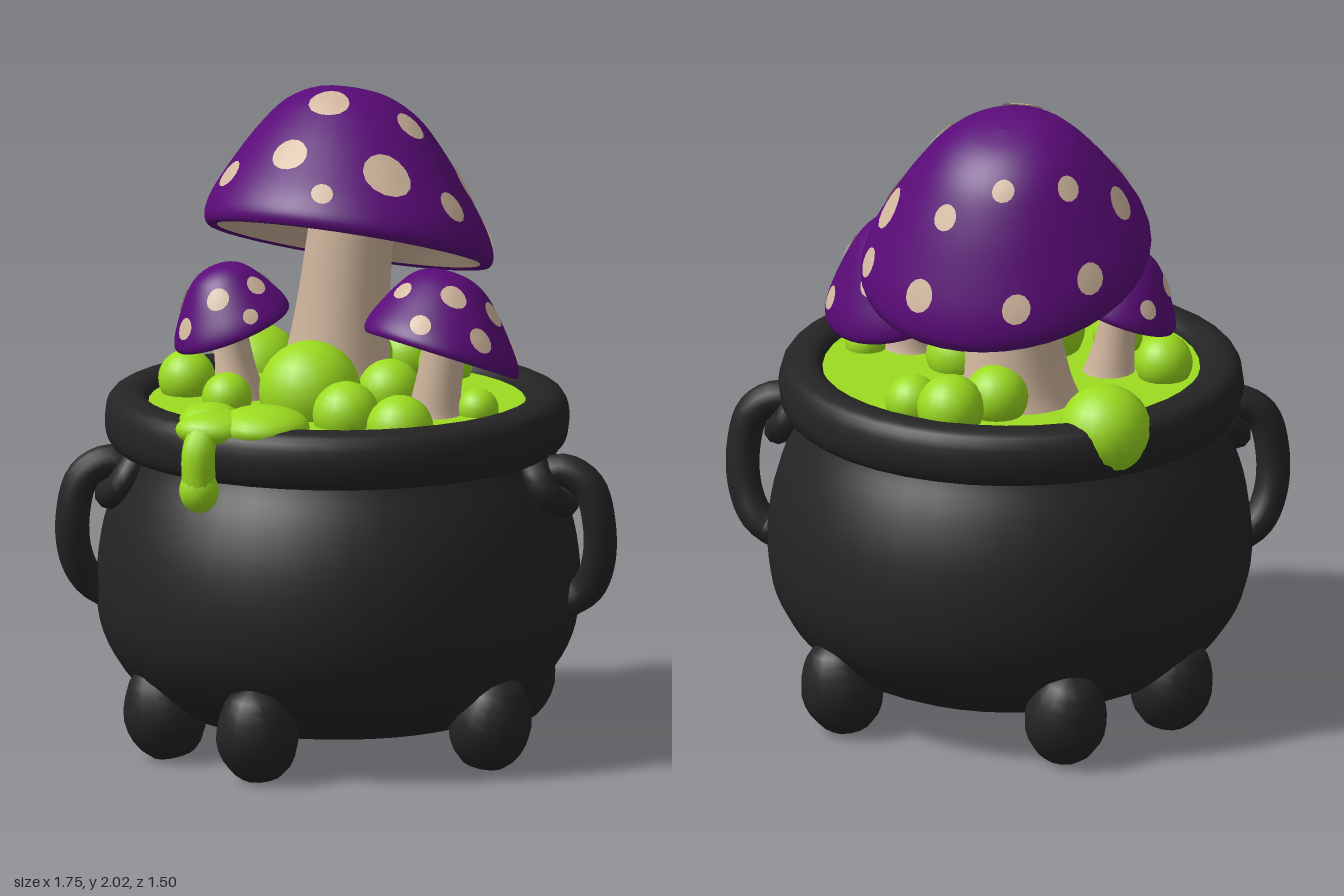
import * as THREE from 'three';

const mat = (name, color, side = THREE.FrontSide) => {
  const m = new THREE.MeshStandardMaterial({ color, side });
  m.name = name;
  return m;
};
const v2 = (a) => a.map(([x, y]) => new THREE.Vector2(x, y));
const v3 = (a) => a.map((p) => new THREE.Vector3(...p));

export function createModel() {
  const iron = mat('black iron', 0x242424);
  const slime = mat('green slime', 0x9cdc20, THREE.DoubleSide);
  const purple = mat('purple cap', 0x5a0b78);
  const cream = mat('cream flesh', 0xd2b89f, THREE.DoubleSide);
  const model = new THREE.Group();
  model.name = 'mushroomCauldron';

  const add = (parent, name, geo, material, pos = [0, 0, 0]) => {
    const m = new THREE.Mesh(geo, material);
    m.name = name;
    m.position.set(...pos);
    parent.add(m);
    return m;
  };
  const lathe = (pts, n, segs = 40) => new THREE.LatheGeometry(new THREE.SplineCurve(v2(pts)).getPoints(n), segs);

  // Cauldron: rounded body, flat base, thick rim
  add(model, 'potBody', lathe([[0.47, 0.11], [0.58, 0.165], [0.675, 0.26], [0.735, 0.38], [0.752, 0.52],
    [0.735, 0.68], [0.69, 0.82], [0.63, 0.94], [0.61, 1.02]], 28), iron, [-0.01, 0, 0]);
  add(model, 'potBase', new THREE.CircleGeometry(0.475, 40).rotateX(Math.PI / 2), iron, [-0.01, 0.111, 0]);
  add(model, 'potRim', lathe([[0.585, 1.0], [0.61, 0.95], [0.66, 0.938], [0.705, 0.96], [0.722, 1.03],
    [0.705, 1.1], [0.65, 1.122], [0.6, 1.11], [0.58, 1.06], [0.585, 1.0]], 28), iron, [-0.015, 0, -0.01]);

  // Six stubby feet, leaning outwards
  for (const [x, z] of [[0.5, 0.36], [-0.2, 0.615], [-0.52, 0.3]]) {
    for (const s of [1, -1]) {
      const foot = add(model, 'foot', lathe([[0.001, -0.145], [0.07, -0.13], [0.115, -0.07], [0.13, 0.005],
        [0.11, 0.08], [0.07, 0.14], [0.001, 0.165]], 12, 14), iron, [x, 0.15, z * s]);
      foot.quaternion.setFromUnitVectors(new THREE.Vector3(0, 1, 0), new THREE.Vector3(x * 0.4, 1, z * s * 0.4).normalize());
    }
  }

  // Side handles: a fat collar with a bent bar hanging from it
  for (const s of [1, -1]) {
    const handle = new THREE.Group();
    handle.name = s > 0 ? 'leftHandle' : 'rightHandle';
    model.add(handle);
    const path = new THREE.CatmullRomCurve3(v3([[0.6, 0.86, 0.15], [0.7, 0.915, 0.16], [0.785, 0.87, 0.17], [0.82, 0.75, 0.17],
      [0.815, 0.62, 0.15], [0.775, 0.53, 0.12], [0.7, 0.48, 0.1]].map(([x, y, z]) => [x * s, y, z])));
    add(handle, 'handleBar', new THREE.TubeGeometry(path, 28, 0.053, 12), iron);
    add(handle, 'handleEnd', new THREE.SphereGeometry(0.055, 12, 8), iron, [0.73 * s, 0.5, 0.105]);
    const collar = add(handle, 'handleCollar', new THREE.TorusGeometry(0.08, 0.045, 10, 20), iron, [0.665 * s, 0.875, 0.155]);
    collar.quaternion.setFromUnitVectors(new THREE.Vector3(0, 0, 1), new THREE.Vector3(0.8 * s, 0.55, 0.15).normalize());
  }

  // Slime surface and bubbles: x, y, z, radius
  add(model, 'slimeSurface', new THREE.CircleGeometry(0.6, 40).rotateX(-Math.PI / 2), slime, [-0.015, 1.085, -0.01]);
  for (const [x, y, z, r] of [[-0.08, 1.15, 0.18, 0.16], [0.05, 1.115, 0.35, 0.105], [0.225, 1.09, 0.42, 0.105],
    [-0.34, 1.125, 0.17, 0.078], [-0.49, 1.13, -0.08, 0.09], [0.44, 1.1, 0.15, 0.065], [-0.32, 1.07, -0.53, 0.145],
    [0.16, 1.13, -0.5, 0.105], [0.02, 1.14, -0.42, 0.1], [0.28, 1.12, -0.42, 0.085], [0.15, 1.12, 0.0, 0.1]]) {
    add(model, 'slimeBubble', new THREE.SphereGeometry(r, 20, 14), slime, [x, y, z]);
  }

  // Slime spilling over the rim at the front
  const spill = new THREE.Group();
  spill.name = 'slimeSpill';
  model.add(spill);
  for (const [x, y, z, rx, ry, rz] of [[-0.19, 1.11, 0.53, 0.145, 0.065, 0.145], [-0.36, 1.11, 0.47, 0.1, 0.06, 0.095],
    [-0.34, 1.105, 0.57, 0.12, 0.055, 0.085], [-0.38, 0.925, 0.632, 0.062, 0.07, 0.055]]) {
    add(spill, 'spillBlob', new THREE.SphereGeometry(1, 20, 14), slime, [x, y, z]).scale.set(rx, ry, rz);
  }
  const drip = new THREE.CatmullRomCurve3(v3([[-0.3, 1.11, 0.52], [-0.36, 1.1, 0.59], [-0.38, 1.05, 0.63], [-0.38, 0.92, 0.632]]));
  add(spill, 'drip', new THREE.TubeGeometry(drip, 20, 0.053, 12), slime);

  // Mushroom: unit cap scaled by r and h, leaning along a normal, with spots [angle, way from tip to edge, radius]
  const mushroom = (name, { centre, normal, r, h, lean, stem, spots }) => {
    const g = new THREE.Group();
    g.name = name;
    model.add(g);
    const cap = new THREE.Group();
    cap.name = 'cap';
    cap.position.set(...centre);
    cap.quaternion.setFromUnitVectors(new THREE.Vector3(0, 1, 0), new THREE.Vector3(...normal).normalize());
    g.add(cap);
    const shear = (geo) => {
      const p = geo.attributes.position;
      for (let i = 0; i < p.count; i++) {
        const k = p.getY(i) / h;
        p.setX(i, p.getX(i) + lean[0] * k);
        p.setZ(i, p.getZ(i) + lean[1] * k);
      }
      return geo;
    };
    const outer = [[0.91, -0.09], [0.97, -0.1], [1, -0.02], [0.95, 0.14], [0.82, 0.37], [0.65, 0.63],
      [0.46, 0.85], [0.24, 0.97], [0, 1]].map(([x, y]) => [x * r, y * h]);
    const curve = new THREE.SplineCurve(v2(outer));
    add(cap, 'capTop', shear(lathe(outer, 32)), purple);
    add(cap, 'capUnderside', shear(lathe([[0, 0.22], [0.3, 0.2], [0.65, 0.1], [0.91, -0.09]].map(([x, y]) => [x * r, y * h]), 10)), cream);

    // Spots are thin patches that follow the cap
    const len = curve.getLength();
    for (const [deg, s, size] of spots) {
      const phi = THREE.MathUtils.degToRad(deg);
      const r0 = curve.getPointAt(1 - s * 0.88).x;
      const pos = [], idx = [], n = 14, rings = 3;
      for (let k = 0; k <= rings; k++) {
        for (let i = 0; i < n; i++) {
          const a = (i / n) * Math.PI * 2, d = (size * k) / rings;
          const u = THREE.MathUtils.clamp(1 - s * 0.88 + (Math.sin(a) * d) / len, 0, 1);
          const p = curve.getPointAt(u), t = curve.getTangentAt(u);
          const f = phi + (Math.cos(a) * d) / r0;
          const rad = p.x + t.y * 0.005, y = p.y - t.x * 0.005;
          pos.push(rad * Math.sin(f), y, rad * Math.cos(f));
          if (k < rings) {
            const b = k * n + i, c = k * n + ((i + 1) % n);
            idx.push(b, b + n, c + n);
            if (k > 0) idx.push(b, c + n, c);
          }
        }
      }
      const geo = new THREE.BufferGeometry();
      geo.setAttribute('position', new THREE.Float32BufferAttribute(pos, 3));
      geo.setIndex(idx);
      shear(geo).computeVertexNormals();
      add(cap, 'capSpot', geo, cream);
    }

    // Stem: flared tube from the slime to the cap
    const [bx, bz, rb, rt] = stem;
    const top = new THREE.Vector3(...centre).add(new THREE.Vector3(...normal).normalize().multiplyScalar(h * 0.24));
    const hgt = top.y - 1.07;
    const sg = lathe([[rb * 1.15, 0], [rb, hgt * 0.15], [rt * 1.1, hgt * 0.5], [rt, hgt]], 14, 24);
    const p = sg.attributes.position;
    for (let i = 0; i < p.count; i++) {
      const k = p.getY(i) / hgt;
      p.setX(i, p.getX(i) + (top.x - bx) * k);
      p.setZ(i, p.getZ(i) + (top.z - bz) * k);
    }
    add(g, 'stem', sg, cream, [bx, 1.07, bz]);
  };

  mushroom('bigMushroom', {
    centre: [-0.005, 1.565, -0.275], normal: [0.13, 1, -0.32], r: 0.455, h: 0.44, lean: [-0.05, 0.05],
    stem: [-0.05, -0.255, 0.165, 0.13],
    spots: [[-15, 0.36, 0.065], [50, 0.43, 0.05], [-27, 0.72, 0.06], [22, 0.76, 0.078], [-7, 0.92, 0.035], [-62, 0.85, 0.05],
      [-100, 0.72, 0.055], [88, 0.7, 0.065], [-130, 0.45, 0.04], [180, 0.35, 0.035], [140, 0.5, 0.04], [-175, 0.88, 0.045],
      [140, 0.86, 0.05], [-140, 0.86, 0.048], [100, 0.92, 0.045], [55, 0.86, 0.05]],
  });
  mushroom('leftMushroom', {
    centre: [0.325, 1.285, 0.12], normal: [0.3, 1, -0.24], r: 0.252, h: 0.235, lean: [-0.04, 0.04],
    stem: [0.3, 0.17, 0.08, 0.065],
    spots: [[10, 0.5, 0.042], [-50, 0.6, 0.035], [65, 0.55, 0.04], [35, 0.85, 0.04], [-15, 0.88, 0.035], [100, 0.85, 0.035],
      [150, 0.6, 0.035], [-110, 0.75, 0.035], [-160, 0.85, 0.035]],
  });
  mushroom('rightMushroom', {
    centre: [-0.35, 1.31, -0.06], normal: [-0.38, 1, 0.08], r: 0.19, h: 0.19, lean: [0.02, 0],
    stem: [-0.315, -0.03, 0.075, 0.055],
    spots: [[0, 0.55, 0.036], [60, 0.6, 0.034], [-50, 0.8, 0.034], [30, 0.88, 0.025], [-100, 0.55, 0.034], [-150, 0.8, 0.03],
      [130, 0.7, 0.034]],
  });
  return model;
}
